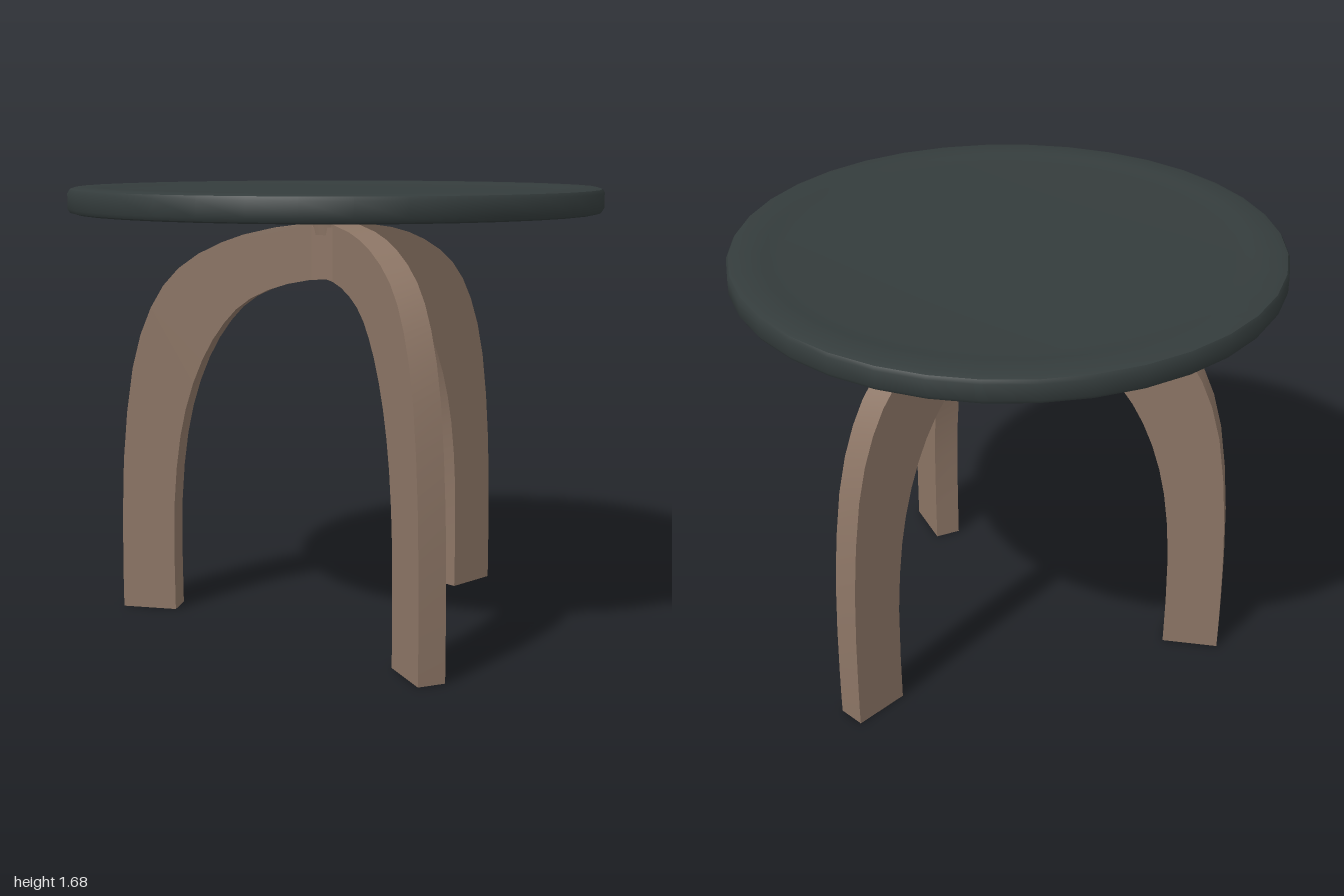
import * as THREE from 'three';
import { toCreasedNormals } from 'three/addons/utils/BufferGeometryUtils.js';

const wood = new THREE.MeshStandardMaterial({ color: 0x8c7565 });
wood.name = 'brown wood';
const seatColour = new THREE.MeshStandardMaterial({ color: 0x343c3c });
seatColour.name = 'dark slate';

const LEG_THICKNESS = 0.104;
const vec = ([x, y]) => new THREE.Vector2(x, y);
const creased = (g) => toCreasedNormals(g, 0.6);

function addMesh(group, name, geometry, material) {
  const mesh = new THREE.Mesh(geometry, material);
  mesh.name = name;
  group.add(mesh);
  return mesh;
}

// Arched leg outline in its own plane (distance from centre, height), extruded sideways
function legGeometry() {
  const outer = [[0.862, 0], [0.862, 0.2], [0.85, 0.6], [0.805, 0.97], [0.725, 1.21],
    [0.61, 1.365], [0.44, 1.465], [0.25, 1.52], [0, 1.55]];
  const inner = [[0, 1.33], [0.08, 1.33], [0.22, 1.3], [0.345, 1.24], [0.435, 1.15],
    [0.515, 1.02], [0.58, 0.85], [0.622, 0.65], [0.645, 0.38], [0.645, 0]];
  const smooth = (points) => new THREE.SplineCurve(points.map(vec)).getPoints(16);
  const shape = new THREE.Shape([...smooth(outer), ...smooth(inner)]);
  const g = new THREE.ExtrudeGeometry(shape, { depth: LEG_THICKNESS, bevelEnabled: false });
  g.translate(0, 0, -LEG_THICKNESS / 2);
  return creased(g);
}

export function createModel() {
  const stool = new THREE.Group();
  stool.name = 'stool';

  // Round seat with soft rim and a shallow dish
  const seatProfile = [[0, 1.585], [0.975, 1.585], [0.992, 1.59], [1, 1.603], [1, 1.66],
    [0.992, 1.673], [0.97, 1.68], [0.9, 1.68], [0.87, 1.676], [0.84, 1.67], [0.81, 1.668], [0, 1.668]];
  addMesh(stool, 'seat', creased(new THREE.LatheGeometry(seatProfile.map(vec), 36)), seatColour);

  // Flared collar under the seat
  const collarProfile = [[0, 1.5], [0.09, 1.5], [0.095, 1.545], [0.115, 1.565], [0.16, 1.578], [0.165, 1.588], [0, 1.588]];
  addMesh(stool, 'collar', creased(new THREE.LatheGeometry(collarProfile.map(vec), 24)), wood);

  // Three-sided block filling the corners between the legs
  const hub = new THREE.CylinderGeometry(0.172, 0.172, 0.195, 3, 1, false, Math.PI / 2);
  const hubMesh = addMesh(stool, 'hub', creased(hub), wood);
  hubMesh.position.y = 1.432;
  hubMesh.rotation.y = -THREE.MathUtils.degToRad(165);

  // Legs, each turned about the centre
  const leg = legGeometry();
  const legs = [['rightLeg', 165.5], ['leftFrontLeg', 40.8], ['backLeg', -71]];
  for (const [name, angle] of legs) {
    addMesh(stool, name, leg, wood).rotation.y = -THREE.MathUtils.degToRad(angle);
  }
  return stool;
}
